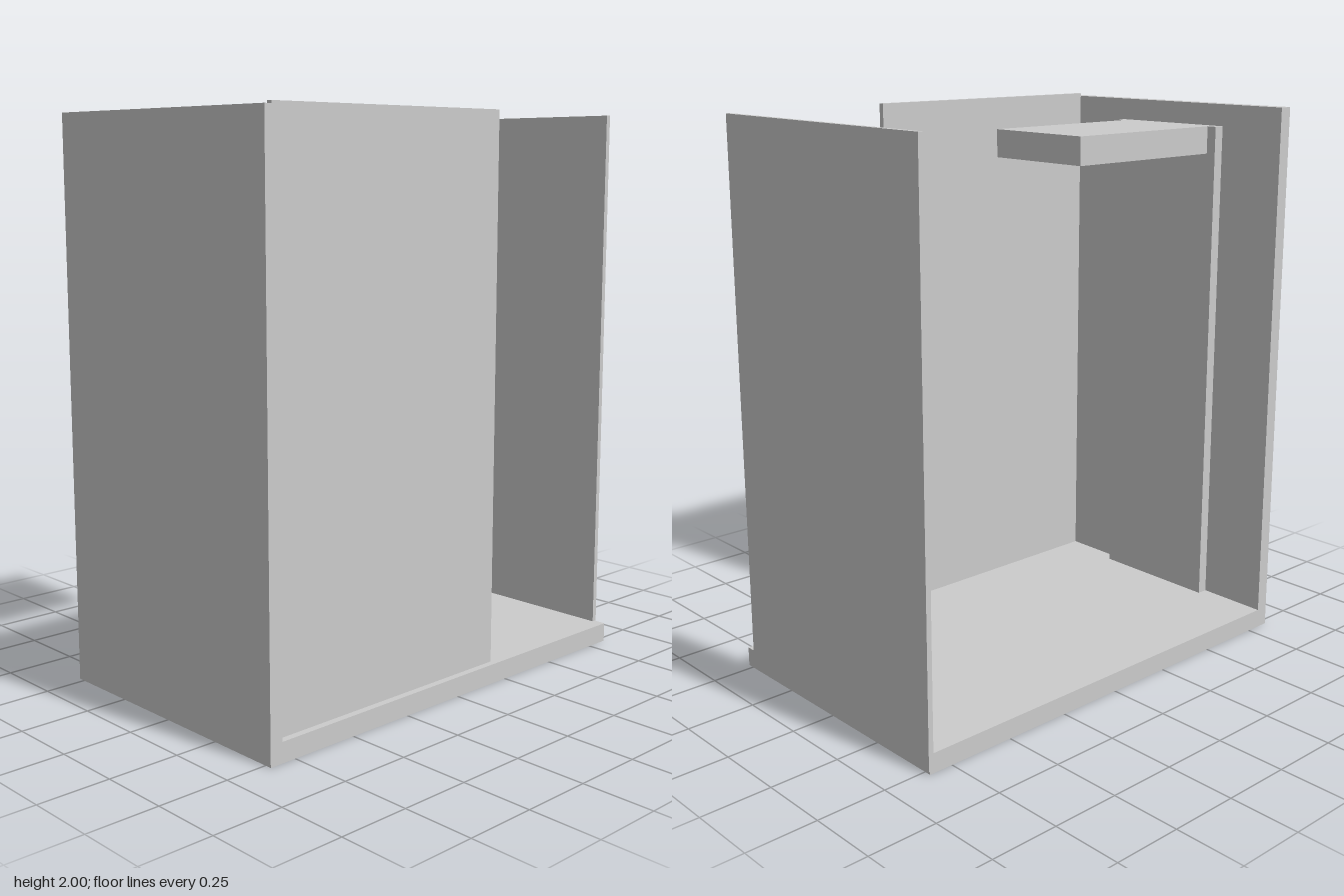
import * as THREE from 'three';

export function createModel() {
  const group = new THREE.Group();
  const material = new THREE.MeshStandardMaterial({ color: 0xcccccc });

  // Box given by its extents along each axis
  function slab(name, [x0, x1], [y0, y1], [z0, z1]) {
    const mesh = new THREE.Mesh(new THREE.BoxGeometry(x1 - x0, y1 - y0, z1 - z0), material);
    mesh.position.set((x0 + x1) / 2, (y0 + y1) / 2, (z0 + z1) / 2);
    mesh.name = name;
    group.add(mesh);
  }

  // Shower tray and solid side wall
  slab('tray', [-0.802, 0.84], [0, 0.07], [-0.525, 0.525]);
  slab('sideWall', [-0.85, -0.802], [0, 1.99], [-0.525, 0.525]);

  // Thin glass screens
  slab('frontScreen', [-0.802, 0.2], [0.07, 2], [0.48, 0.5]);
  slab('sideScreen', [0.827, 0.846], [0.012, 1.995], [-0.527, 0.48]);

  // Wall column carrying the overhead shower block
  slab('wallColumn', [-0.802, -0.762], [0.07, 1.91], [-0.26, 0.235]);
  slab('overheadShower', [-0.762, -0.1], [1.81, 1.91], [-0.222, 0.202]);

  return group;
}
